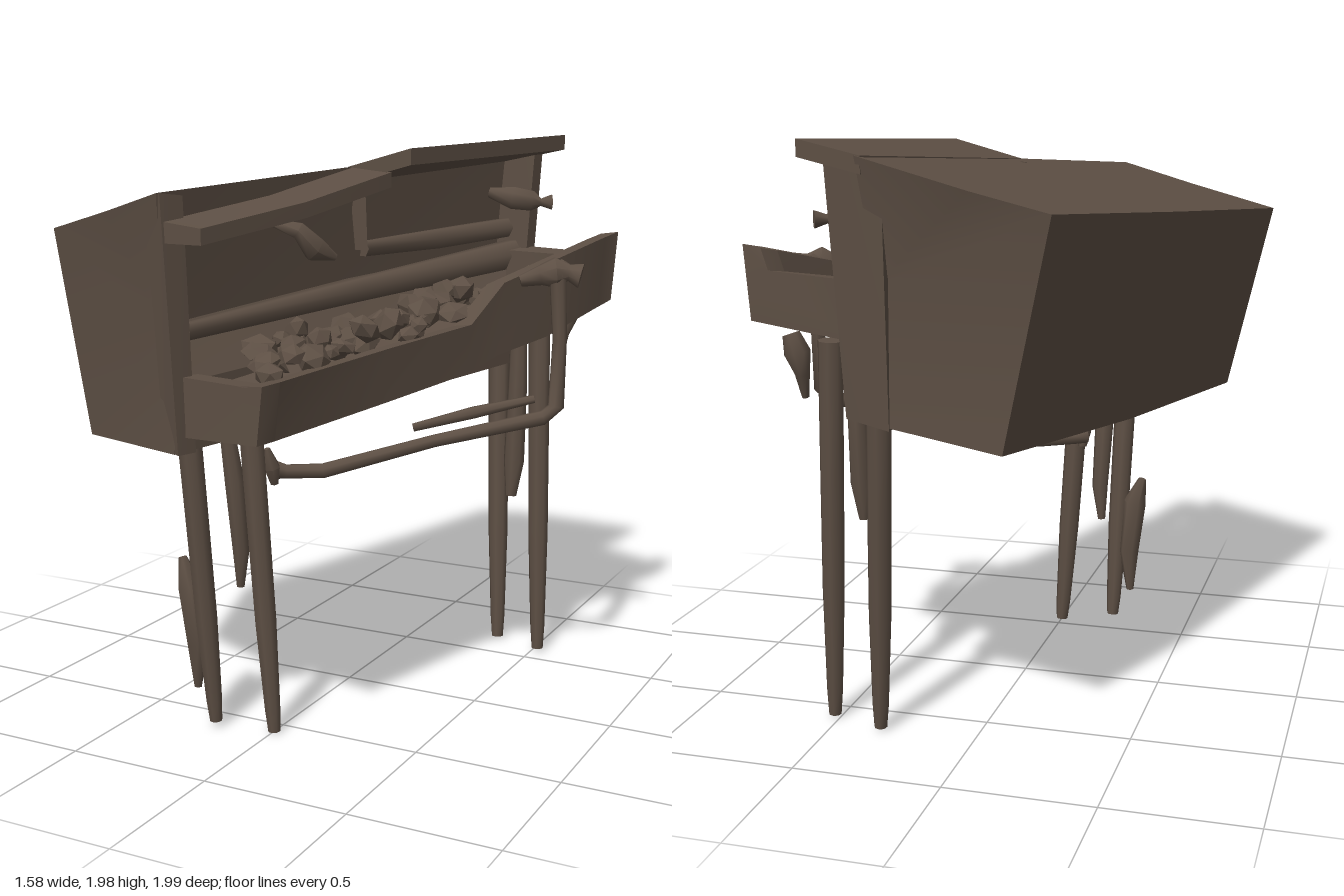
import * as THREE from 'three';
import { toCreasedNormals } from 'three/addons/utils/BufferGeometryUtils.js';

const wood = new THREE.MeshStandardMaterial({ color: 0x5d4f44 });
wood.name = 'dark weathered wood';

// Skin a list of equal rings, cap both ends with a fan from corner `hub`, and face it outwards.
function loft(rings, hub = 0, crease = 0.5) {
  const n = rings[0].length, tris = [];
  for (let i = 0; i + 1 < rings.length; i++) {
    const a = rings[i], b = rings[i + 1];
    for (let j = 0; j < n; j++) {
      const k = (j + 1) % n;
      tris.push([a[j], a[k], b[k]], [a[j], b[k], b[j]]);
    }
  }
  const last = rings[rings.length - 1];
  for (let j = 1; j + 1 < n; j++) {
    const p = (hub + j) % n, q = (hub + j + 1) % n;
    tris.push([rings[0][hub], rings[0][q], rings[0][p]], [last[hub], last[p], last[q]]);
  }
  const c = new THREE.Vector3(...rings[0][0]);
  let volume = 0;
  for (const t of tris) {
    const [p, q, r] = t.map((v) => new THREE.Vector3(...v).sub(c));
    volume += p.dot(q.cross(r));
  }
  if (volume < 0) tris.forEach((t) => t.reverse());
  const geo = new THREE.BufferGeometry();
  geo.setAttribute('position', new THREE.Float32BufferAttribute(tris.flat(2), 3));
  geo.computeVertexNormals();
  return toCreasedNormals(geo, crease);
}

// Tapered limb through points [x, y, z, radius].
function limb(path, sides = 8, crease = 1.1) {
  const pts = path.map((p) => new THREE.Vector3(p[0], p[1], p[2]));
  const ref = new THREE.Vector3(0.5, 0, 0.85);
  const rings = path.map((p, i) => {
    const t = pts[Math.min(i + 1, pts.length - 1)].clone().sub(pts[Math.max(i - 1, 0)]).normalize();
    const u = t.clone().cross(ref).normalize(), v = t.clone().cross(u);
    return Array.from({ length: sides }, (_, j) => {
      const a = ((j + 0.5) / sides) * Math.PI * 2;
      return pts[i].clone().addScaledVector(u, Math.cos(a) * p[3]).addScaledVector(v, Math.sin(a) * p[3]).toArray();
    });
  });
  return loft(rings, 0, crease);
}

export function createModel() {
  const model = new THREE.Group();
  const add = (name, geo, parent = model) => {
    const mesh = new THREE.Mesh(geo, wood);
    mesh.name = name;
    parent.add(mesh);
    return mesh;
  };

  // Leaning cabinet with a hollowed long side
  add('cabinet', loft([
    [[-0.79, 1.685, 0.64], [-0.63, 1.0, 0.68], [-0.13, 1.03, 0.93], [-0.12, 1.25, 0.92], [-0.2, 1.42, 0.88], [-0.16, 1.83, 0.95], [-0.45, 1.76, 0.81]],
    [[-0.57, 1.735, -0.18], [-0.42, 1.03, -0.18], [0.12, 1.07, 0.06], [0.13, 1.31, 0.06], [0.02, 1.5, 0.05], [0.05, 1.885, 0.09], [-0.25, 1.81, -0.05]],
    [[-0.35, 1.79, -1.0], [-0.2, 1.08, -0.99], [0.36, 1.12, -0.8], [0.37, 1.38, -0.8], [0.24, 1.55, -0.83], [0.28, 1.94, -0.9], [-0.1, 1.85, -0.99]],
  ], 4));

  // Overhanging part of the lid on the far half
  const lidTop = [[0.04, 1.885, 0.09], [0.29, 1.95, 0.12], [0.49, 1.985, -0.84], [0.26, 1.94, -0.9]];
  add('lidOverhang', loft([lidTop, lidTop.map(([x, y, z]) => [x, y - 0.055, z])]));

  // Upright panels at both ends of the hollow
  add('nearPost', loft([
    [[-0.2, 1.03, 0.88], [-0.11, 1.03, 0.94], [-0.09, 1.03, 0.87], [-0.18, 1.03, 0.83]],
    [[-0.24, 1.8, 0.9], [-0.15, 1.83, 0.95], [-0.12, 1.82, 0.87], [-0.22, 1.79, 0.83]],
  ]));
  add('farCheek', loft([
    [[0.2, 1.1, -0.86], [0.36, 1.12, -0.81], [0.35, 1.12, -0.75], [0.2, 1.1, -0.8]],
    [[0.2, 1.91, -0.89], [0.4, 1.95, -0.85], [0.39, 1.94, -0.79], [0.2, 1.91, -0.83]],
  ]));

  // Fallen plank and mouldings inside the hollow
  add('fallenPlank', loft([[-0.15, 1.71, 0.96], [-0.03, 1.77, 0.53], [0.06, 1.85, 0.1]].map(([x, y, z]) =>
    [[x, y - 0.03, z - 0.02], [x + 0.15, y - 0.03, z], [x + 0.15, y + 0.02, z], [x, y + 0.035, z - 0.02]])));
  add('lowerRail', limb([[-0.14, 1.4, 0.85, 0.03], [0.05, 1.46, 0.05, 0.045], [0.3, 1.53, -0.8, 0.06]], 6));
  add('upperRail', limb([[0.05, 1.6, 0.0, 0.03], [0.15, 1.61, -0.4, 0.04], [0.27, 1.63, -0.8, 0.04]], 6));
  add('innerStile', limb([[0.04, 1.88, 0.03, 0.04], [0.06, 1.6, 0.03, 0.03]], 4, 0.3));
  add('hook', limb([[-0.02, 1.73, 0.55, 0.01], [0.09, 1.7, 0.53, 0.03], [0.12, 1.64, 0.48, 0.045], [0.17, 1.61, 0.43, 0.012]], 6));
  add('innerKnob', limb([[0.25, 1.77, -0.68, 0.02], [0.34, 1.75, -0.7, 0.045], [0.41, 1.74, -0.72, 0.04],
    [0.44, 1.735, -0.73, 0.015], [0.475, 1.735, -0.75, 0.03]]));

  // Tray with solid ends: inner x, inner z, outer x, outer z, rim height, underside, floor
  const stations = [
    [-0.13, 0.9, 0.22, 0.99, 1.28, 1.1, 1.27],
    [-0.11, 0.83, 0.24, 0.92, 1.285, 1.105, 1.27],
    [-0.11, 0.825, 0.24, 0.915, 1.285, 1.105, 1.22],
    [-0.01, 0.42, 0.37, 0.43, 1.33, 1.15, 1.27],
    [0.1, 0.0, 0.5, 0.08, 1.37, 1.2, 1.3],
    [0.13, -0.12, 0.56, -0.06, 1.5, 1.25, 1.33],
    [0.2, -0.38, 0.65, -0.3, 1.56, 1.29, 1.37],
    [0.31, -0.715, 0.745, -0.575, 1.625, 1.37, 1.42],
    [0.31, -0.72, 0.745, -0.58, 1.625, 1.37, 1.55],
    [0.33, -0.83, 0.77, -0.65, 1.64, 1.39, 1.56],
  ];
  add('tray', loft(stations.map(([ix, iz, ox, oz, rim, low, floor]) => [
    [ix, low - 0.02, iz], [ox - 0.02, low, oz], [ox, rim, oz],
    [ox - 0.07, rim - 0.01, oz - 0.015], [ox - 0.1, floor, oz - 0.03], [ix, floor, iz],
  ]), 4));

  // Rubble heaped in the tray
  let seed = 7;
  const rand = () => (seed = (seed * 16807) % 2147483647) / 2147483647;
  const rubble = new THREE.Group();
  rubble.name = 'rubble';
  model.add(rubble);
  const chunk = new THREE.IcosahedronGeometry(1, 0);
  for (let i = 0; i < 60; i++) {
    const t = (i + rand()) / 60, side = rand();
    const rock = add('rubbleChunk', chunk, rubble);
    rock.position.set(-0.05 + 0.48 * t + 0.23 * side, 1.27 + 0.17 * t + 0.07 * rand(), 0.81 - 1.42 * t + 0.04 * side);
    rock.scale.set(0.03 + 0.035 * rand(), 0.02 + 0.03 * rand(), 0.035 + 0.04 * rand());
    rock.rotation.set(rand() * 0.8, rand() * 6, rand() * 0.8);
  }

  // Four thin legs: top x, y, z, then foot x, y, z
  const legs = [
    ['nearBackLeg', -0.23, 1.08, 0.7, -0.2, 0.03, 0.61],
    ['nearFrontLeg', -0.07, 1.12, 0.58, 0.0, 0.01, 0.56],
    ['farBackLeg', 0.27, 1.2, -0.76, 0.33, 0.02, -0.65],
    ['farFrontLeg', 0.47, 1.34, -0.66, 0.52, 0.02, -0.59],
  ];
  for (const [name, x, y, z, fx, fy, fz] of legs) {
    const at = (t, r) => [x + (fx - x) * t, y + (fy - y) * t, z + (fz - z) * t, r];
    add(name, limb([at(0, 0.042), at(0.35, 0.04), at(0.65, 0.038), at(0.93, 0.028), at(1, 0.022)]));
  }

  // Splinters hanging under the cabinet, the tray and off one leg
  add('nearSplinter', limb([[-0.2, 1.06, 0.52, 0.025], [-0.18, 0.85, 0.5, 0.035], [-0.17, 0.6, 0.48, 0.03], [-0.18, 0.47, 0.47, 0.014]]));
  add('farSplinter', limb([[0.48, 1.31, -0.42, 0.03], [0.48, 1.1, -0.42, 0.035], [0.475, 0.8, -0.41, 0.038], [0.47, 0.67, -0.4, 0.02]]));
  add('legSplinter', limb([[-0.31, 0.6, 0.63, 0.015], [-0.28, 0.5, 0.63, 0.045], [-0.26, 0.3, 0.62, 0.04], [-0.27, 0.14, 0.61, 0.014]], 6));
  add('traySplinter', limb([[0.57, 1.37, -0.74, 0.03], [0.55, 1.31, -0.74, 0.045], [0.54, 1.24, -0.73, 0.025], [0.54, 1.16, -0.71, 0.012]]));

  // Bent crank rod with its knob, handle and loose bar
  add('crankRod', limb([
    [0.71, 1.53, -0.17, 0.03], [0.72, 1.3, -0.18, 0.025], [0.72, 1.07, -0.16, 0.028], [0.68, 1.03, -0.14, 0.026],
    [0.35, 0.95, 0.04, 0.022], [0.0, 0.84, 0.2, 0.026], [-0.11, 0.84, 0.27, 0.025], [-0.15, 0.85, 0.3, 0.035],
  ]));
  add('crankHandle', limb([[-0.14, 0.8, 0.3, 0.015], [-0.14, 0.86, 0.315, 0.03], [-0.15, 0.93, 0.335, 0.012]], 6));
  add('looseBar', limb([[0.64, 1.09, -0.16, 0.015], [0.45, 1.04, -0.07, 0.022], [0.26, 0.985, 0.02, 0.015]], 6));
  add('crankKnob', limb([
    [0.59, 1.5, -0.13, 0.02], [0.65, 1.52, -0.16, 0.035], [0.7, 1.53, -0.18, 0.055],
    [0.74, 1.53, -0.2, 0.03], [0.78, 1.52, -0.21, 0.045],
  ]));
  add('crankSpur', limb([[0.7, 1.52, -0.19, 0.025], [0.69, 1.54, -0.27, 0.03]], 6));
  return model;
}
